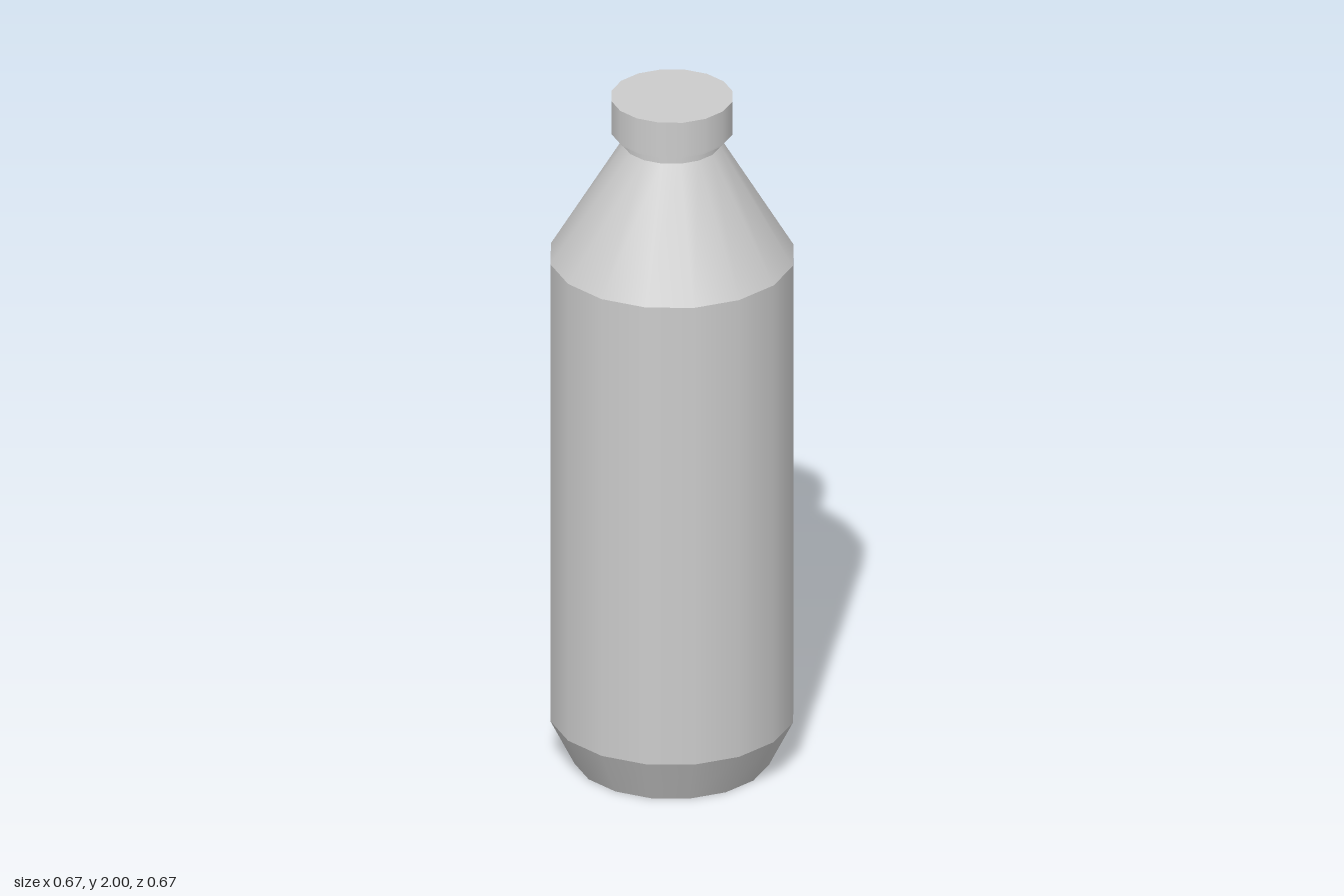
import * as THREE from 'three';
import { mergeGeometries } from 'three/addons/utils/BufferGeometryUtils.js';

const SIDES = 16;
const material = new THREE.MeshStandardMaterial({ color: 0xcccccc });

// Stack of round bands through [radius, y] points, smooth around and sharp between bands.
// A radius of 0 closes an end with a flat disc.
function turned(name, profile) {
  const bands = [];
  for (let i = 0; i < profile.length - 1; i++) {
    const [r0, y0] = profile[i];
    const [r1, y1] = profile[i + 1];
    if (y0 === y1) {
      // flat step: a ring facing down when widening, up when narrowing
      const ring = new THREE.RingGeometry(Math.min(r0, r1), Math.max(r0, r1), SIDES, 1);
      ring.rotateX(r1 > r0 ? Math.PI / 2 : -Math.PI / 2);
      bands.push(ring.translate(0, y0, 0));
    } else {
      const band = new THREE.CylinderGeometry(r1, r0, y1 - y0, SIDES, 1, true);
      bands.push(band.translate(0, (y0 + y1) / 2, 0));
    }
  }
  const mesh = new THREE.Mesh(mergeGeometries(bands), material);
  mesh.name = name;
  return mesh;
}

export function createModel() {
  const bottle = new THREE.Group();
  bottle.name = 'bottle';

  // Body with chamfered base, straight wall, sloping shoulder and neck
  bottle.add(turned('body', [
    [0, 0], [0.27, 0], [0.337, 0.135], [0.337, 1.52], [0.135, 1.86], [0.135, 1.91],
  ]));

  // Thin sealing ring below the cap
  bottle.add(turned('sealRing', [[0.135, 1.89], [0.16, 1.89], [0.16, 1.9]]));

  // Screw cap
  bottle.add(turned('cap', [[0.13, 1.9], [0.168, 1.9], [0.168, 2], [0, 2]]));

  return bottle;
}
